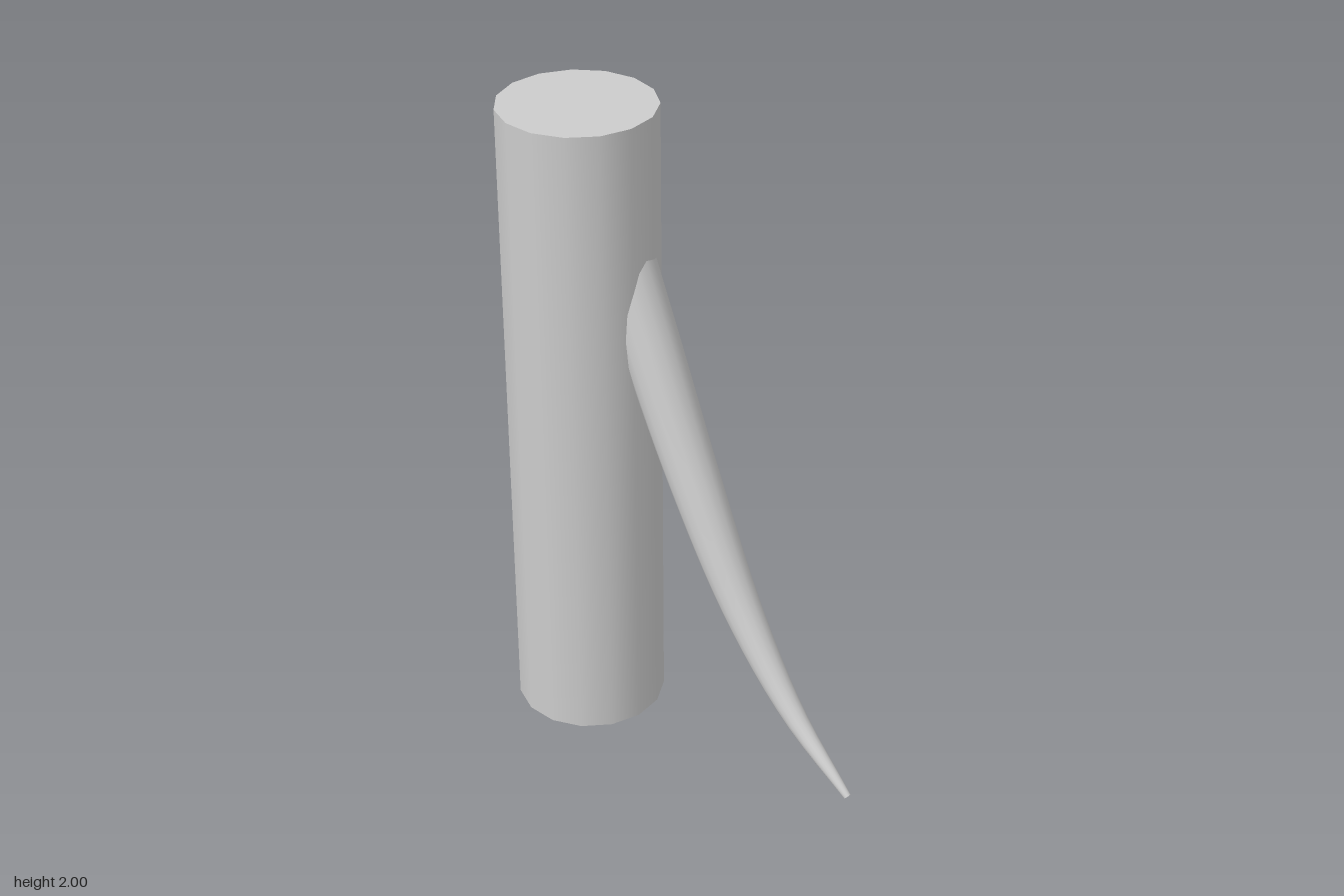
import * as THREE from 'three';

const material = new THREE.MeshStandardMaterial({ color: 0xcccccc });

function named(geometry, name) {
  const mesh = new THREE.Mesh(geometry, material);
  mesh.name = name;
  return mesh;
}

// Tube along a curve whose radius follows radiusAt(u), with flat end caps
function taperedTube(curve, radiusAt, segments, sides, name) {
  const group = new THREE.Group();
  group.name = name;
  const tube = new THREE.TubeGeometry(curve, segments, 1, sides);
  const pos = tube.attributes.position;
  const v = new THREE.Vector3();
  for (let i = 0; i <= segments; i++) {
    const u = i / segments;
    const center = curve.getPointAt(u);
    for (let j = 0; j <= sides; j++) {
      const k = i * (sides + 1) + j;
      v.fromBufferAttribute(pos, k).sub(center).multiplyScalar(radiusAt(u)).add(center);
      pos.setXYZ(k, v.x, v.y, v.z);
    }
  }
  group.add(named(tube, name + 'Shaft'));
  for (const u of [0, 1]) {
    const cap = named(new THREE.CircleGeometry(radiusAt(u), sides), name + (u ? 'Tip' : 'Root'));
    const outward = curve.getTangentAt(u).multiplyScalar(u ? 1 : -1);
    cap.position.copy(curve.getPointAt(u));
    cap.quaternion.setFromUnitVectors(new THREE.Vector3(0, 0, 1), outward);
    group.add(cap);
  }
  return group;
}

export function createModel() {
  const model = new THREE.Group();
  model.name = 'spikedPost';

  // Upright fifteen-sided post, one corner towards +x
  const post = named(
    new THREE.CylinderGeometry(0.23, 0.23, 2, 15, 1, false, Math.PI / 2), 'post');
  post.position.set(-0.004, 1, -0.4);
  model.add(post);

  // Curved thorn, rooted inside the post and sweeping down to the front
  const path = new THREE.CatmullRomCurve3(
    [[1.64, -0.3], [1.33, -0.17], [0.94, 0], [0.55, 0.2], [0.275, 0.4], [0.08, 0.615]]
      .map(([y, z]) => new THREE.Vector3(0.033, y, z)));
  const radiusAt = (u) => 0.011 + 0.077 * (1 - Math.pow(u, 2.15));
  model.add(taperedTube(path, radiusAt, 28, 16, 'thorn'));

  return model;
}
